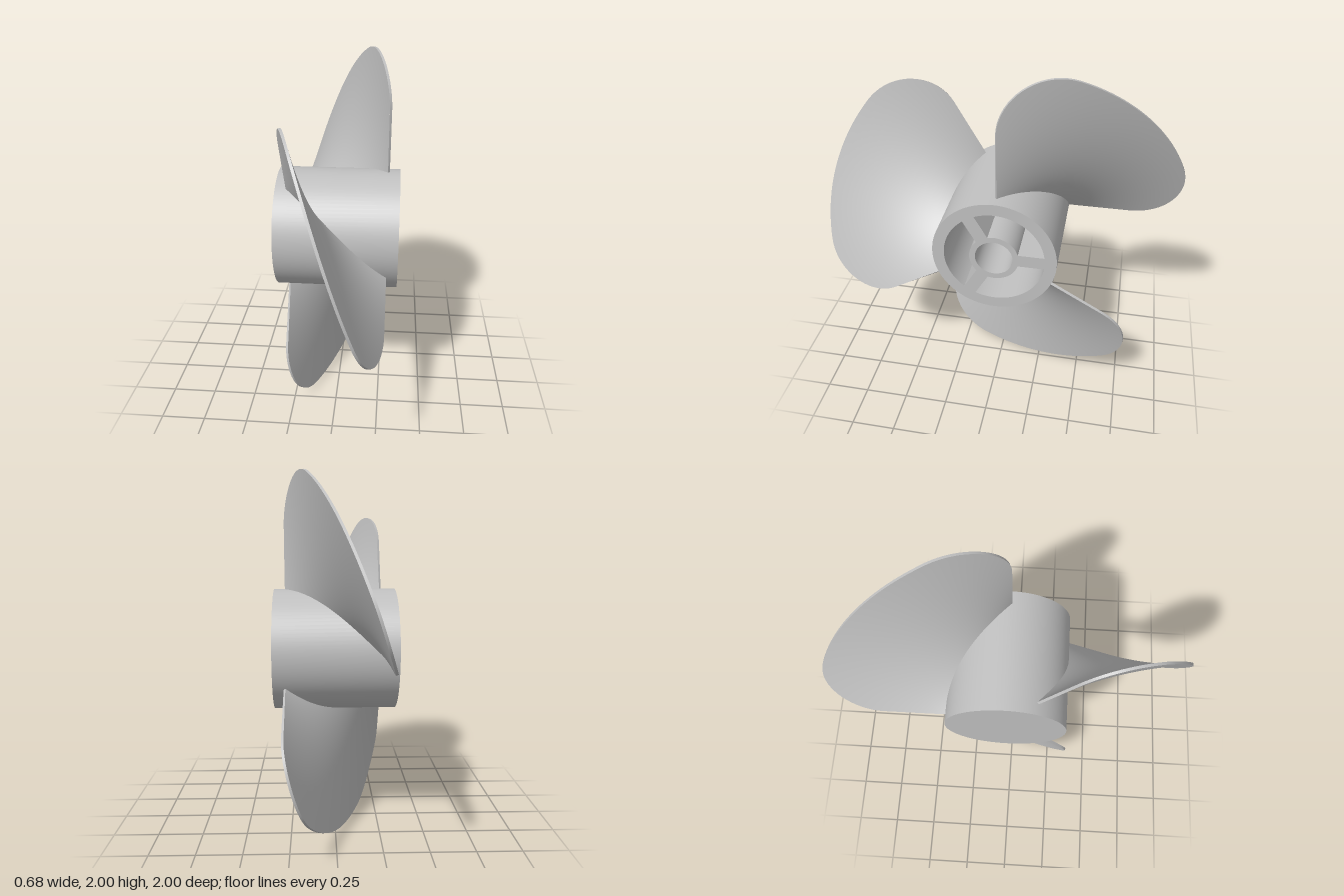
import * as THREE from 'three';
import { toCreasedNormals } from 'three/addons/utils/BufferGeometryUtils.js';

const HUB_R = 0.34, HALF_L = 0.34, CAVITY_R = 0.275, FLOOR_X = -0.28;
const TIP_R = 1.026, EDGE_R = 0.694, ROOT_R = 0.31;
const HALF_X = 0.275, HALF_T = 0.007;
const PITCH = (2 * HALF_X) / (Math.PI / 2);

// Solid of revolution about the x axis
function turned(profile, segments = 96) {
  const geo = new THREE.LatheGeometry(profile.map(p => new THREE.Vector2(...p)), segments);
  geo.rotateZ(-Math.PI / 2);
  return toCreasedNormals(geo, 0.6);
}

// Smooth surface from fn(i, j) over an nu x nv grid
function gridSurface(fn, nu, nv, flip) {
  const pos = [], index = [];
  for (let i = 0; i <= nu; i++) for (let j = 0; j <= nv; j++) pos.push(...fn(i, j));
  for (let i = 0; i < nu; i++) for (let j = 0; j < nv; j++) {
    const a = i * (nv + 1) + j, b = a + nv + 1, c = a + 1, d = b + 1;
    if (flip) index.push(a, c, b, b, c, d);
    else index.push(a, b, c, b, d, c);
  }
  const geo = new THREE.BufferGeometry();
  geo.setAttribute('position', new THREE.Float32BufferAttribute(pos, 3));
  geo.setIndex(index);
  geo.computeVertexNormals();
  return geo;
}

// Blade outline as [angle, radius]: quarter sector with filleted corners
function bladeOutline() {
  const rho = (TIP_R ** 2 - EDGE_R ** 2) / (2 * TIP_R);
  const beta = Math.atan2(rho, EDGE_R);
  const corner = [], arc = [];
  for (let i = 0; i <= 18; i++) {
    const t = -Math.PI / 2 + (i / 18) * (beta + Math.PI / 2);
    const u = EDGE_R + rho * Math.cos(t), v = rho + rho * Math.sin(t);
    corner.push([Math.atan2(v, u), Math.hypot(u, v)]);
  }
  for (let i = 1; i < 24; i++) arc.push([beta + (i / 24) * (Math.PI / 2 - 2 * beta), TIP_R]);
  const mirrored = corner.map(([a, r]) => [Math.PI / 2 - a, r]).reverse();
  return [...corner, ...arc, ...mirrored];
}

// Point on the helical blade, offset along its normal by side * HALF_T
function bladePoint(a, r, side) {
  const len = Math.hypot(r, PITCH), off = side * HALF_T;
  const x = -HALF_X + PITCH * a + (off * r) / len;
  const t = (-off * PITCH) / len;
  const s = Math.sin(a), c = Math.cos(a);
  return [x, r * s + t * c, -r * c + t * s];
}

function createBlade(material) {
  const blade = new THREE.Group();
  const outline = bladeOutline();
  const n = outline.length - 1, radial = 16;
  const add = (geo, name) => {
    const m = new THREE.Mesh(geo, material);
    m.name = name;
    blade.add(m);
  };
  const face = side => (i, j) => {
    const [a, r] = outline[i];
    return bladePoint(a, ROOT_R + (r - ROOT_R) * (j / radial), side);
  };
  add(gridSurface(face(-1), n, radial, false), 'bladeBackFace');
  add(gridSurface(face(1), n, radial, true), 'bladeFrontFace');

  // Rim runs out along one straight edge, round the tip and back in
  const path = [];
  for (let k = 0; k < 8; k++) path.push([0, ROOT_R + (EDGE_R - ROOT_R) * (k / 8)]);
  path.push(...outline);
  for (let k = 7; k >= 0; k--) path.push([Math.PI / 2, ROOT_R + (EDGE_R - ROOT_R) * (k / 8)]);
  add(gridSurface((i, j) => bladePoint(...path[i], j ? 1 : -1), path.length - 1, 1, false), 'bladeRim');
  return blade;
}

export function createModel() {
  const metal = new THREE.MeshStandardMaterial({ color: 0xc0c0c0 });
  metal.name = 'grey metal';
  const model = new THREE.Group();
  model.name = 'propeller';
  const rotor = new THREE.Group();
  rotor.name = 'rotor';
  rotor.position.set(0, 1.026, -0.024);
  model.add(rotor);

  // Hub shell: closed at -x, hollow towards +x
  const shell = new THREE.Mesh(turned([
    [0, -HALF_L], [HUB_R, -HALF_L], [HUB_R, HALF_L],
    [CAVITY_R, HALF_L], [CAVITY_R, FLOOR_X], [0, FLOOR_X],
  ]), metal);
  shell.name = 'hubShell';

  // Shaft sleeve inside the hub
  const sleeve = new THREE.Mesh(turned([
    [0.135, FLOOR_X - 0.01], [0.135, HALF_L], [0.103, HALF_L], [0.103, FLOOR_X - 0.01],
  ], 64), metal);
  sleeve.name = 'shaftSleeve';
  rotor.add(shell, sleeve);

  // Three ribs and three blades
  for (let k = 0; k < 3; k++) {
    const turn = (k * Math.PI * 2) / 3;
    const depth = HALF_L - FLOOR_X;
    const ribGeo = new THREE.BoxGeometry(depth, 0.072, 0.15);
    ribGeo.translate(HALF_L - depth / 2, 0, -0.205);
    const rib = new THREE.Mesh(ribGeo, metal);
    rib.name = 'hubRib' + (k + 1);
    rib.rotation.x = turn;
    const blade = createBlade(metal);
    blade.name = 'blade' + (k + 1);
    blade.rotation.x = turn;
    rotor.add(rib, blade);
  }
  return model;
}
